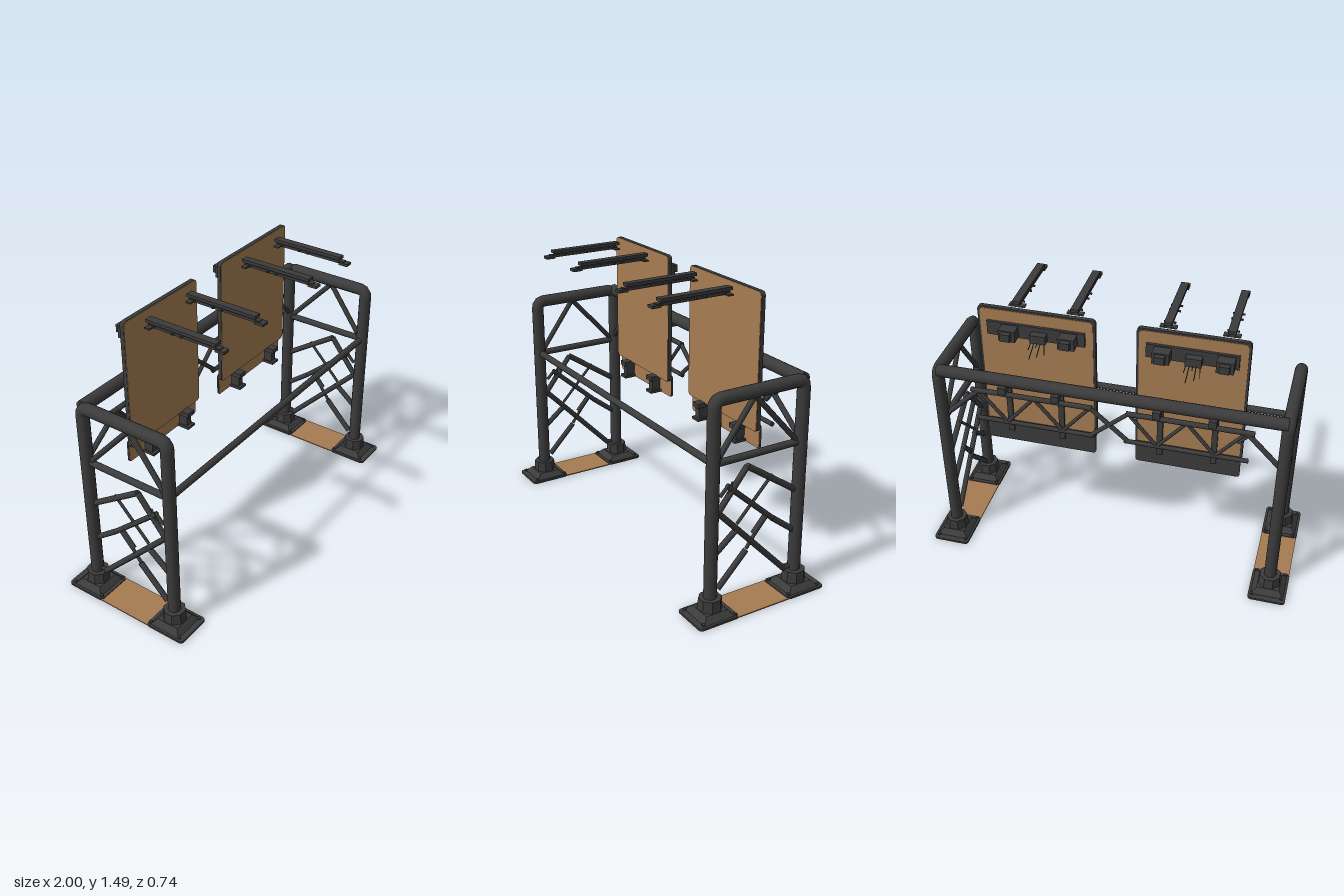
import * as THREE from 'three';

const steel = new THREE.MeshStandardMaterial({ color: 0x3b3b3c });
steel.name = 'darkSteel';
const wood = new THREE.MeshStandardMaterial({ color: 0xa67c52 });
wood.name = 'tanBoard';

const V = (x, y, z) => new THREE.Vector3(x, y, z);

function add(parent, name, geometry, material, x = 0, y = 0, z = 0) {
  const mesh = new THREE.Mesh(geometry, material);
  mesh.name = name;
  mesh.position.set(x, y, z);
  parent.add(mesh);
  return mesh;
}

function box(parent, name, w, h, d, x, y, z, material = steel) {
  return add(parent, name, new THREE.BoxGeometry(w, h, d), material, x, y, z);
}

// Round bar between two points
function bar(parent, name, a, b, r, sides = 12) {
  const dir = b.clone().sub(a);
  const mesh = add(parent, name, new THREE.CylinderGeometry(r, r, dir.length(), sides), steel);
  mesh.position.copy(a).add(b).multiplyScalar(0.5);
  mesh.quaternion.setFromUnitVectors(V(0, 1, 0), dir.normalize());
  return mesh;
}

function roundedRect(w, h, r) {
  const s = new THREE.Shape();
  s.absarc(w / 2 - r, h / 2 - r, r, 0, Math.PI / 2);
  s.absarc(-w / 2 + r, h / 2 - r, r, Math.PI / 2, Math.PI);
  s.absarc(-w / 2 + r, -h / 2 + r, r, Math.PI, Math.PI * 1.5);
  s.absarc(w / 2 - r, -h / 2 + r, r, Math.PI * 1.5, Math.PI * 2);
  return s;
}

// Rounded slab centred on its own origin, facing z
function slab(w, h, d, r) {
  return new THREE.ExtrudeGeometry(roundedRect(w, h, r), { depth: d, bevelEnabled: false, curveSegments: 6 })
    .translate(0, 0, -d / 2);
}

// Flared pedestal on a rounded base plate
function makeFoot(x, z) {
  const foot = new THREE.Group();
  foot.name = 'foot';
  foot.position.set(x, 0, z);
  add(foot, 'basePlate', slab(0.2, 0.225, 0.012, 0.02).rotateX(-Math.PI / 2), steel, 0, 0.006, Math.sign(z) * 0.006);
  const flare = new THREE.CylinderGeometry(0.085, 0.125, 0.03, 4).rotateY(Math.PI / 4).toNonIndexed();
  flare.computeVertexNormals();
  add(foot, 'footFlare', flare, steel, 0, 0.026, 0);
  const collar = new THREE.CylinderGeometry(0.058, 0.062, 0.065, 8).rotateY(Math.PI / 8).toNonIndexed();
  collar.computeVertexNormals();
  add(foot, 'footCollar', collar, steel, 0, 0.068, 0);
  for (const sx of [-1, 1]) for (const sz of [-1, 1]) {
    add(foot, 'anchorBolt', new THREE.CylinderGeometry(0.009, 0.009, 0.012, 6), steel, sx * 0.08, 0.016, sz * 0.09);
  }
  return foot;
}

// One end of the gantry: bent tube, bracing and feet
function makeEndFrame(side) {
  const frame = new THREE.Group();
  frame.name = side > 0 ? 'leftEndFrame' : 'rightEndFrame';
  const x = side * 0.9, z = 0.253, top = 1.107, c = 0.04;
  const path = new THREE.CurvePath();
  path.add(new THREE.LineCurve3(V(x, 0.05, z), V(x, top - c, z)));
  path.add(new THREE.QuadraticBezierCurve3(V(x, top - c, z), V(x, top, z), V(x, top, z - c)));
  path.add(new THREE.LineCurve3(V(x, top, z - c), V(x, top, c - z)));
  path.add(new THREE.QuadraticBezierCurve3(V(x, top, c - z), V(x, top, -z), V(x, top - c, -z)));
  path.add(new THREE.LineCurve3(V(x, top - c, -z), V(x, 0.05, -z)));
  add(frame, 'postsAndTopRail', new THREE.TubeGeometry(path, 130, 0.033, 14), steel);
  bar(frame, 'middleRail', V(x, 0.795, z), V(x, 0.795, -z), 0.018);

  // Braces as [z1, y1, z2, y2, radius]
  const braces = [
    [0.23, 0.81, 0.03, 1.085, 0.014], [0.03, 1.085, -0.22, 0.81, 0.014],
    [0.06, 0.74, -0.23, 0.545, 0.016], [0.06, 0.74, 0.23, 0.525, 0.015],
    [0.17, 0.665, -0.1, 0.425, 0.014], [-0.1, 0.425, -0.23, 0.325, 0.015],
    [0.22, 0.54, -0.19, 0.115, 0.015], [0.23, 0.325, 0.1, 0.43, 0.015],
    [0.11, 0.45, -0.09, 0.66, 0.008], [0.21, 0.62, 0.16, 0.67, 0.009],
    [0.21, 0.13, 0.05, 0.295, 0.015], [0.05, 0.3, -0.06, 0.45, 0.009],
    [0.01, 0.37, -0.06, 0.45, 0.015], [0.2, 0.55, 0.14, 0.68, 0.005],
    [-0.18, 0.12, -0.22, 0.12, 0.01],
  ];
  for (const [z1, y1, z2, y2, r] of braces) bar(frame, 'brace', V(x, y1, z1), V(x, y2, z2), r, 8);
  frame.add(makeFoot(x, z), makeFoot(x, -z));
  box(frame, 'floorStrip', 0.196, 0.006, 0.31, x, 0.004, 0, wood);
  return frame;
}

// Display board with rear equipment, clips and overhead arms
function makeBoard(name, x0, x1, clips, arms) {
  const g = new THREE.Group();
  g.name = name;
  const w = x1 - x0, cx = (x0 + x1) / 2;
  add(g, 'boardCore', slab(w, 0.71, 0.022, 0.022), steel, cx, 1.13, -0.168);
  add(g, 'boardFront', slab(w - 0.004, 0.706, 0.003, 0.021), wood, cx, 1.13, -0.156);
  add(g, 'boardBack', slab(w - 0.024, 0.69, 0.003, 0.02), wood, cx, 1.13, -0.18);
  add(g, 'skirt', slab(w - 0.008, 0.125, 0.01, 0.015), steel, cx, 0.743, -0.186);
  add(g, 'skirtFront', slab(w - 0.012, 0.12, 0.003, 0.014), wood, cx, 0.743, -0.18);

  // Rear control rail
  box(g, 'rearRail', w - 0.1, 0.075, 0.014, cx, 1.375, -0.19);
  for (const x of arms) {
    box(g, 'rearHousing', 0.085, 0.06, 0.06, x, 1.375, -0.225);
    box(g, 'rearHousingCap', 0.05, 0.04, 0.028, x, 1.38, -0.268);
  }
  const mid = (arms[0] + arms[1]) / 2;
  box(g, 'junctionBox', 0.08, 0.045, 0.04, mid, 1.365, -0.215);
  for (let i = 0; i < 5; i++) {
    bar(g, 'looseWire', V(mid - 0.03 + i * 0.016, 1.35, -0.22), V(mid - 0.04 + i * 0.02, 1.3 + (i % 3) * 0.02, -0.26 - (i % 2) * 0.05), 0.0025, 5);
  }

  // Lower clips
  for (const x of clips) {
    box(g, 'clipStem', 0.036, 0.085, 0.05, x, 0.735, -0.15);
    box(g, 'clipHead', 0.05, 0.025, 0.065, x, 0.768, -0.143);
    box(g, 'clipToe', 0.056, 0.014, 0.07, x, 0.69, -0.145);
  }

  // Overhead arms
  for (const x of arms) {
    const arm = new THREE.Group();
    arm.name = 'overheadArm';
    box(arm, 'armTop', 0.04, 0.016, 0.4, x, 1.475, 0.1);
    box(arm, 'armBottom', 0.028, 0.014, 0.41, x, 1.454, 0.115);
    box(arm, 'armTip', 0.04, 0.014, 0.05, x, 1.449, 0.32);
    for (const z of [-0.05, 0.06, 0.11]) box(arm, 'armPin', 0.06, 0.008, 0.008, x, 1.458, z);
    box(arm, 'armFlange', 0.085, 0.008, 0.03, x, 1.45, -0.075);
    g.add(arm);
  }
  return g;
}

// Zigzag bracing behind the boards
function makeTruss() {
  const g = new THREE.Group();
  g.name = 'rearTruss';
  const z = -0.222, hi = 0.995, lo = 0.82;
  for (const s of [-1, 1]) {
    bar(g, 'upperChord', V(s * 0.09, hi, z), V(s * 0.74, hi, z), 0.014, 8);
    bar(g, 'lowerChord', V(s * 0.08, lo, z), V(s * 0.72, lo, z), 0.012, 8);
    bar(g, 'endStrut', V(s * 0.89, lo, -0.245), V(s * 0.7, hi, z), 0.014, 8);
    bar(g, 'endStub', V(s * 0.72, hi, z), V(s * 0.66, 0.93, z), 0.012, 8);
    bar(g, 'centreCross', V(-s * 0.1, lo, z), V(s * 0.1, hi, z), 0.012, 8);
    for (let i = 0; i < 4; i++) {
      const a = 0.1 + i * 0.15, up = i % 2 === 0;
      bar(g, 'diagonal', V(s * a, up ? hi : lo, z), V(s * (a + 0.15), up ? lo : hi, z), 0.01, 8);
    }
    for (const x of [0.26, 0.54]) {
      box(g, 'hangerPlate', 0.03, 0.3, 0.012, s * x, 0.9, -0.197);
      box(g, 'railClamp', 0.04, 0.04, 0.05, s * x, 1.07, -0.278);
    }
  }
  return g;
}

export function createModel() {
  const model = new THREE.Group();
  model.name = 'gantryStand';
  model.add(makeEndFrame(-1), makeEndFrame(1));
  bar(model, 'rearTopRail', V(-0.9, 1.107, -0.253), V(0.9, 1.107, -0.253), 0.033, 14);
  bar(model, 'frontRail', V(-0.9, 0.795, 0.25), V(0.9, 0.795, 0.25), 0.018);
  model.add(makeTruss());
  model.add(makeBoard('rightBoard', -0.682, -0.128, [-0.545, -0.26], [-0.572, -0.262]));
  model.add(makeBoard('leftBoard', 0.077, 0.68, [0.212, 0.54], [0.206, 0.508]));
  return model;
}
